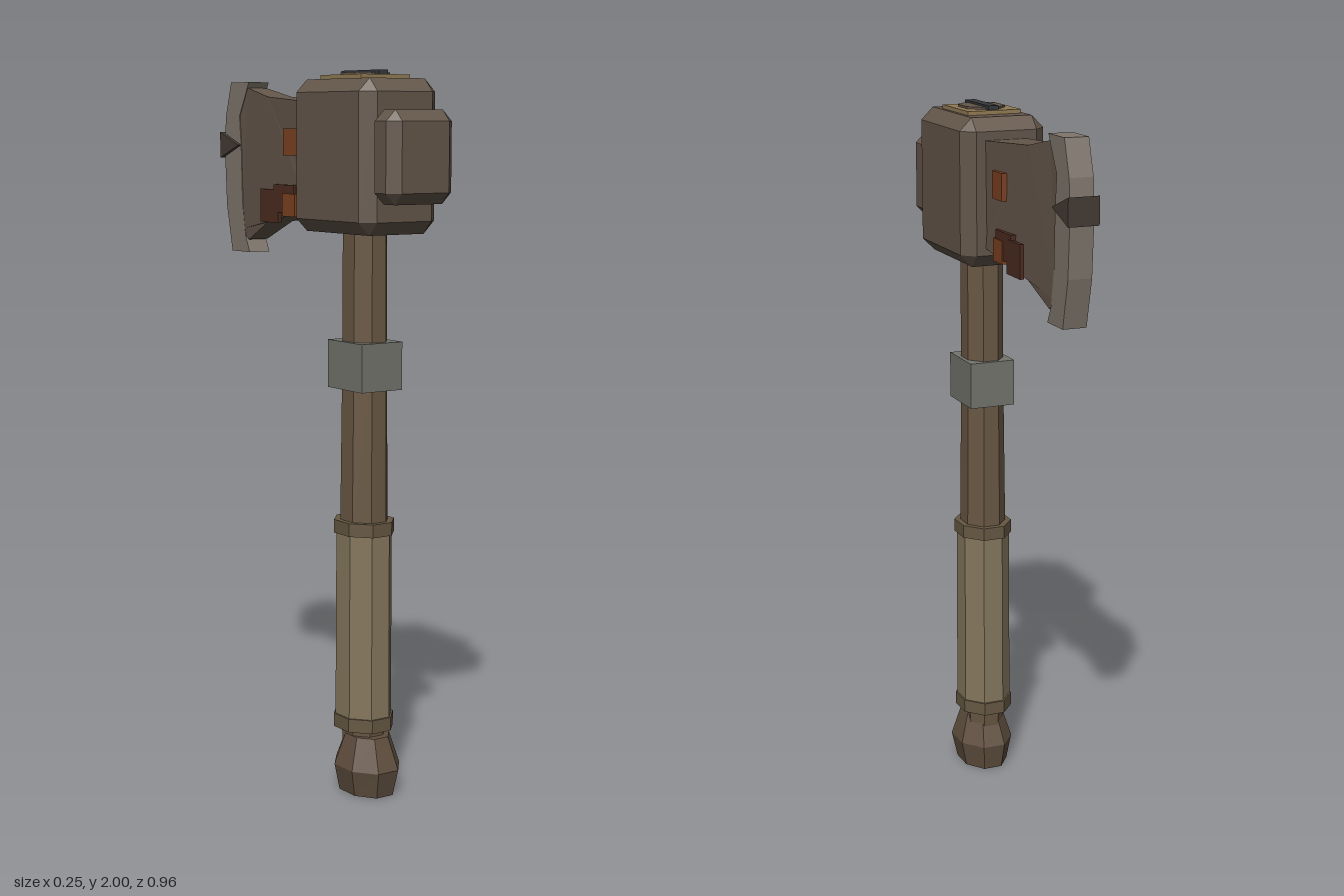
import * as THREE from 'three';
import { ConvexGeometry } from 'three/addons/geometries/ConvexGeometry.js';

const paint = (color) => new THREE.MeshStandardMaterial({ color, flatShading: true });
const MAT = {
  head: paint(0x64564a), wood: paint(0x6a5844), pommel: paint(0x5f4e3e), wrap: paint(0x85775d),
  cuff: paint(0x665843), iron: paint(0x74746e), edge: paint(0x7f766c), brass: paint(0x927c55),
  dark: paint(0x35373a), spike: paint(0x453c34), copper: paint(0x7c4122), rust: paint(0x4c2c20),
};
const AXIS = 0.207; // z of the handle axis

// Box given by its limits
function box(x0, x1, y0, y1, z0, z1) {
  return new THREE.BoxGeometry(x1 - x0, y1 - y0, z1 - z0)
    .translate((x0 + x1) / 2, (y0 + y1) / 2, (z0 + z1) / 2);
}

// Box with every edge chamfered by c
function chamferBox(hx, y0, y1, z0, z1, c) {
  const hy = (y1 - y0) / 2, hz = (z1 - z0) / 2, points = [];
  for (const sx of [-1, 1]) for (const sy of [-1, 1]) for (const sz of [-1, 1]) {
    for (const [a, b, d] of [[0, c, c], [c, 0, c], [c, c, 0]]) {
      points.push(new THREE.Vector3(sx * (hx - a), sy * (hy - b), sz * (hz - d)));
    }
  }
  return new ConvexGeometry(points).translate(0, (y0 + y1) / 2, (z0 + z1) / 2);
}

// Eight-sided column through sections [y, half width, half depth, centre z], top first
function octColumn(sections) {
  const geo = new THREE.CylinderGeometry(1, 1, 1, 8, sections.length - 1, false, Math.PI / 8);
  const pos = geo.attributes.position, k = 1 / Math.cos(Math.PI / 8);
  for (let i = 0; i < pos.count; i++) {
    const row = Math.round((0.5 - pos.getY(i)) * (sections.length - 1));
    const [y, hx, hz, cz = AXIS] = sections[row];
    pos.setXYZ(i, pos.getX(i) * hx * k, y, pos.getZ(i) * hz * k + cz);
  }
  geo.computeVertexNormals();
  return geo;
}

// Side outline of [z, y] points, extruded across x; halfWidth may depend on z
function sidePlate(outline, halfWidth) {
  const shape = new THREE.Shape(outline.map(([z, y]) => new THREE.Vector2(-z, y)));
  const geo = new THREE.ExtrudeGeometry(shape, { depth: 2, bevelEnabled: false })
    .translate(0, 0, -1).rotateY(Math.PI / 2);
  const pos = geo.attributes.position;
  for (let i = 0; i < pos.count; i++) pos.setX(i, pos.getX(i) * halfWidth(pos.getZ(i)));
  geo.computeVertexNormals();
  return geo;
}

export function createModel() {
  const model = new THREE.Group();
  model.name = 'battleAxe';
  const add = (name, geo, mat) => {
    const mesh = new THREE.Mesh(geo, mat);
    mesh.name = name;
    model.add(mesh);
  };

  // Handle
  add('shaft', octColumn([[1.6, 0.054, 0.066], [1.2, 0.055, 0.068], [0.75, 0.06, 0.071]]), MAT.wood);
  add('shaftEnd', octColumn([[0.2, 0.056, 0.066], [0.1, 0.05, 0.06]]), MAT.wood);
  add('shaftBand', box(-0.067, 0.067, 1.14, 1.272, 0.127, 0.29), MAT.iron);
  add('grip', octColumn([[0.75, 0.07, 0.08], [0.2, 0.072, 0.082]]), MAT.wrap);
  for (const [name, y0, y1] of [['upperCuff', 0.738, 0.775], ['lowerCuff', 0.182, 0.22]]) {
    add(name, octColumn([[y1, 0.076, 0.088], [y0, 0.076, 0.088]]), MAT.cuff);
  }
  add('pommel', octColumn([
    [0.165, 0.055, 0.068, 0.226], [0.075, 0.081, 0.104, 0.225], [0, 0.066, 0.09, 0.222],
  ]), MAT.pommel);

  // Head block and hammer face
  add('headBlock', chamferBox(0.124, 1.567, 1.977, 0.022, 0.388, 0.035), MAT.head);
  add('hammerFace', chamferBox(0.106, 1.65, 1.895, 0.37, 0.48, 0.03), MAT.head);

  // Cap on top of the head
  add('capPlate', box(-0.079, 0.079, 1.96, 1.988, 0.107, 0.3), MAT.brass);
  const bolt = sidePlate([[0.137, 0], [0.172, 0.057], [0.238, 0.057], [0.272, 0.025]], () => 1);
  bolt.dispose();
  const octagon = new THREE.Shape([
    [-0.057, 0.171], [-0.025, 0.137], [0.025, 0.137], [0.057, 0.171],
    [0.057, 0.239], [0.025, 0.272], [-0.025, 0.272], [-0.057, 0.239],
  ].map(([x, z]) => new THREE.Vector2(x, -z)));
  add('capBolt', new THREE.ExtrudeGeometry(octagon, { depth: 0.014, bevelEnabled: false })
    .rotateX(-Math.PI / 2).translate(0, 1.98, 0), MAT.head);
  add('capBar', box(-0.015, 0.015, 1.98, 2, 0.115, 0.29), MAT.dark);

  // Blade, thinning towards the cutting edge
  const taper = (z) => 0.062 - 0.03 * Math.min(1, Math.max(0, (0.022 - z) / 0.355));
  add('blade', sidePlate([
    [0.06, 1.918], [0.022, 1.918], [-0.22, 1.934], [-0.34, 1.96], [-0.385, 1.95],
    [-0.385, 1.55], [-0.34, 1.522], [-0.22, 1.578], [0.022, 1.622], [0.06, 1.622],
  ], taper), MAT.head);
  add('cuttingEdge', sidePlate([
    [-0.333, 1.977], [-0.432, 1.977], [-0.462, 1.88], [-0.47, 1.795], [-0.46, 1.62],
    [-0.43, 1.485], [-0.333, 1.485], [-0.355, 1.53], [-0.372, 1.63], [-0.378, 1.795],
    [-0.386, 1.88], [-0.353, 1.94],
  ], () => 0.034), MAT.edge);
  add('edgeSpike', sidePlate([[-0.378, 1.796], [-0.48, 1.834], [-0.48, 1.758]], () => 0.044), MAT.spike);

  // Fittings on both cheeks of the blade
  for (const [side, s] of [['left', 1], ['right', -1]]) {
    const fit = (name, inner, outer, y0, y1, z0, z1, mat) =>
      add(side + name, box(Math.min(s * inner, s * outer), Math.max(s * inner, s * outer), y0, y1, z0, z1), mat);
    fit('UpperStud', 0.045, 0.066, 1.77, 1.845, -0.1, -0.032, MAT.copper);
    fit('LowerStud', 0.045, 0.067, 1.6, 1.664, -0.105, -0.04, MAT.copper);
    fit('InnerClasp', 0.048, 0.064, 1.61, 1.688, -0.155, -0.05, MAT.rust);
    fit('OuterClasp', 0.053, 0.065, 1.58, 1.674, -0.222, -0.13, MAT.rust);
  }
  return model;
}
